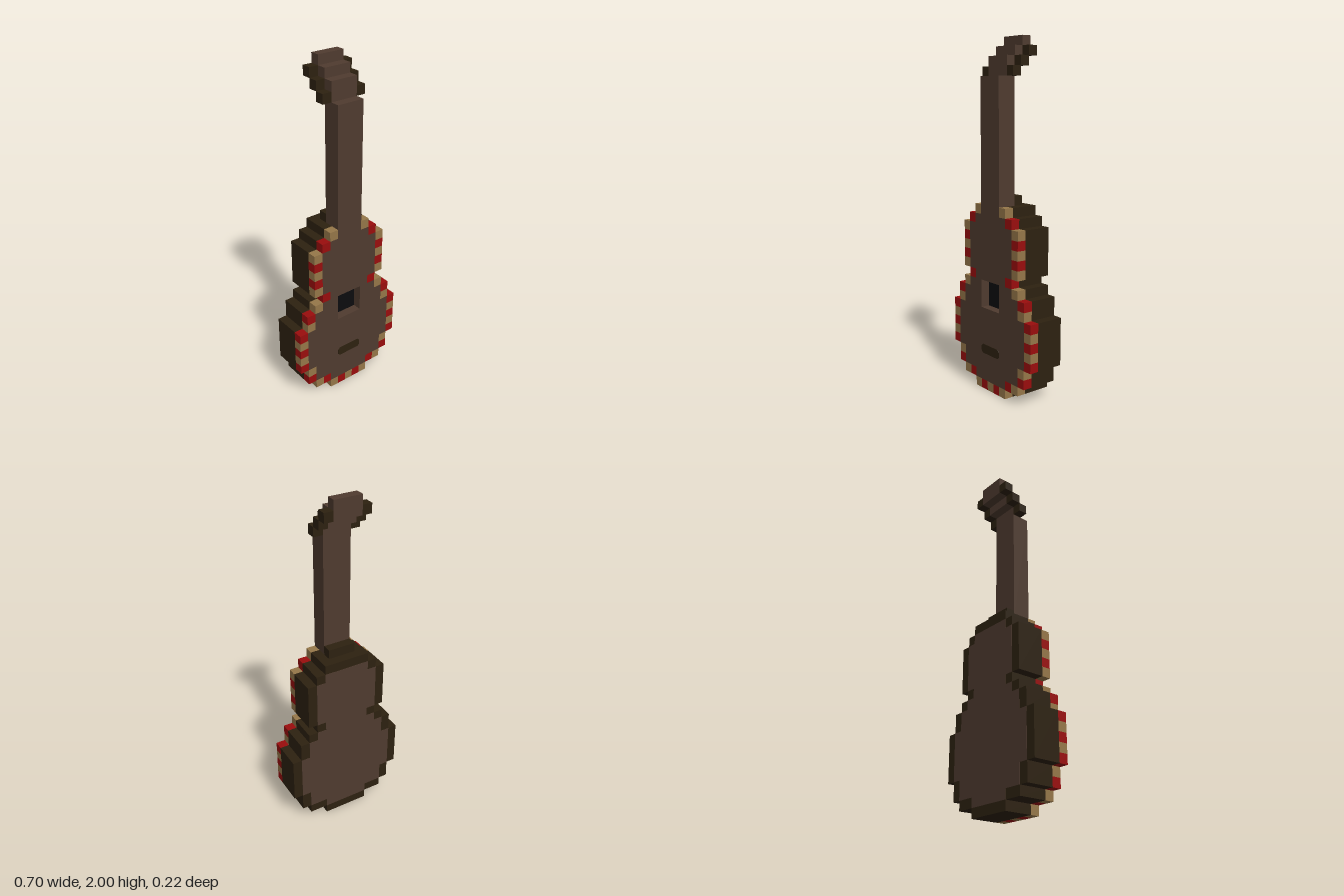
import * as THREE from 'three';
import { mergeGeometries } from 'three/addons/utils/BufferGeometryUtils.js';

const S = 2 / 37; // edge of one cube

// Half-widths of the body in cubes, row by row from the bottom, and of the panel inside the trim
const BODY = [2, 4, 5, 5, 6, 6, 6, 6, 6, 5, 5, 4, 3, 4, 4, 4, 4, 4, 3, 2];
const PANEL = [-1, 2, 4, 4, 5, 5, 5, 5, 5, 4, 4, 3, 2, 3, 3, 3, 3, 3, 2, 1];

const mat = (name, color) => {
  const m = new THREE.MeshStandardMaterial({ color });
  m.name = name;
  return m;
};

// Box over columns c0..c1, rows r0..r1 and layers k0..k1 (0 = back, 3 = front), inclusive
function block(c0, c1, r0, r1, k0, k1) {
  const g = new THREE.BoxGeometry((c1 - c0 + 1) * S, (r1 - r0 + 1) * S, (k1 - k0 + 1) * S);
  return g.translate((c0 + c1) / 2 * S, (r0 + r1 + 1) / 2 * S, (k0 + k1 - 3) / 2 * S);
}

// Mirrored stepped outline from a list of half-widths
function outline(halfWidths, first, last) {
  const right = [];
  for (let r = first; r <= last; r++) {
    const x = (halfWidths[r] + 0.5) * S;
    if (r === first || halfWidths[r] !== halfWidths[r - 1]) right.push([x, r * S]);
    if (r === last || halfWidths[r] !== halfWidths[r + 1]) right.push([x, (r + 1) * S]);
  }
  const left = right.map(([x, y]) => [-x, y]).reverse();
  return new THREE.Shape([...right, ...left].map(([x, y]) => new THREE.Vector2(x, y)));
}

function slab(shape, z0, depth) {
  return new THREE.ExtrudeGeometry(shape, { depth, bevelEnabled: false }).translate(0, 0, z0);
}

export function createModel() {
  const brown = mat('brown wood', 0x4f3b2f);
  const dark = mat('dark wood', 0x2d2110);
  const tan = mat('tan trim', 0x967749);
  const red = mat('red trim', 0x9a0d0d);
  const black = mat('black', 0x0c0c0e);

  const model = new THREE.Group();
  model.name = 'guitar';
  const add = (name, geometry, material) => {
    const mesh = new THREE.Mesh(geometry, material);
    mesh.name = name;
    model.add(mesh);
  };

  // Body shell and the panel on its back
  add('bodyShell', slab(outline(BODY, 0, 19), -2 * S, 3 * S), dark);
  add('backPanel', slab(outline(PANEL, 1, 18), -2 * S - 0.002, 0.004), brown);

  // Soundboard with a square sound hole
  const board = outline(PANEL, 1, 19);
  const h = 1.5 * S;
  board.holes.push(new THREE.Path([[-h, 9 * S], [-h, 12 * S], [h, 12 * S], [h, 9 * S]]
    .map(([x, y]) => new THREE.Vector2(x, y))));
  add('soundboard', slab(board, S, S), brown);
  add('soundHoleFloor', new THREE.BoxGeometry(3 * S, 3 * S, 0.004).translate(0, 10.5 * S, S), black);

  // Bridge plate with clipped corners
  const c = 0.25 * S;
  const bridge = new THREE.Shape([
    [-h + c, 4 * S], [h - c, 4 * S], [h, 4 * S + c], [h, 5 * S - c],
    [h - c, 5 * S], [-h + c, 5 * S], [-h, 5 * S - c], [-h, 4 * S + c],
  ].map(([x, y]) => new THREE.Vector2(x, y)));
  add('bridge', slab(bridge, 2 * S - 0.002, 0.004), dark);

  // Chequered trim around the soundboard
  const trim = { red: [], tan: [] };
  BODY.forEach((w, r) => {
    for (let col = -w; col <= w; col++) {
      if (Math.abs(col) <= PANEL[r]) continue;
      const isRed = r < 2 ? col % 2 !== 0 : r % 2 === 0;
      trim[isRed ? 'red' : 'tan'].push(block(col, col, r, r, 3, 3));
    }
  });
  add('redTrim', mergeGeometries(trim.red), red);
  add('tanTrim', mergeGeometries(trim.tan), tan);

  // Neck and its heel
  add('neck', block(-1, 1, 20, 32, 2, 3), brown);
  add('neckHeel', block(-1, 1, 20, 20, 1, 1), dark);

  // Headstock stepping backwards, with a pair of pegs on each step
  const steps = [], pegs = [];
  for (let i = 0; i < 3; i++) {
    steps.push(block(-1, 1, 33 + i, 34 + i, 2 - i, 2 - i));
    for (const side of [-2, 2]) pegs.push(block(side, side, 33 + i, 33 + i, 2 - i, 2 - i));
  }
  add('headstock', mergeGeometries(steps), brown);
  add('tuningPegs', mergeGeometries(pegs), dark);

  return model;
}
